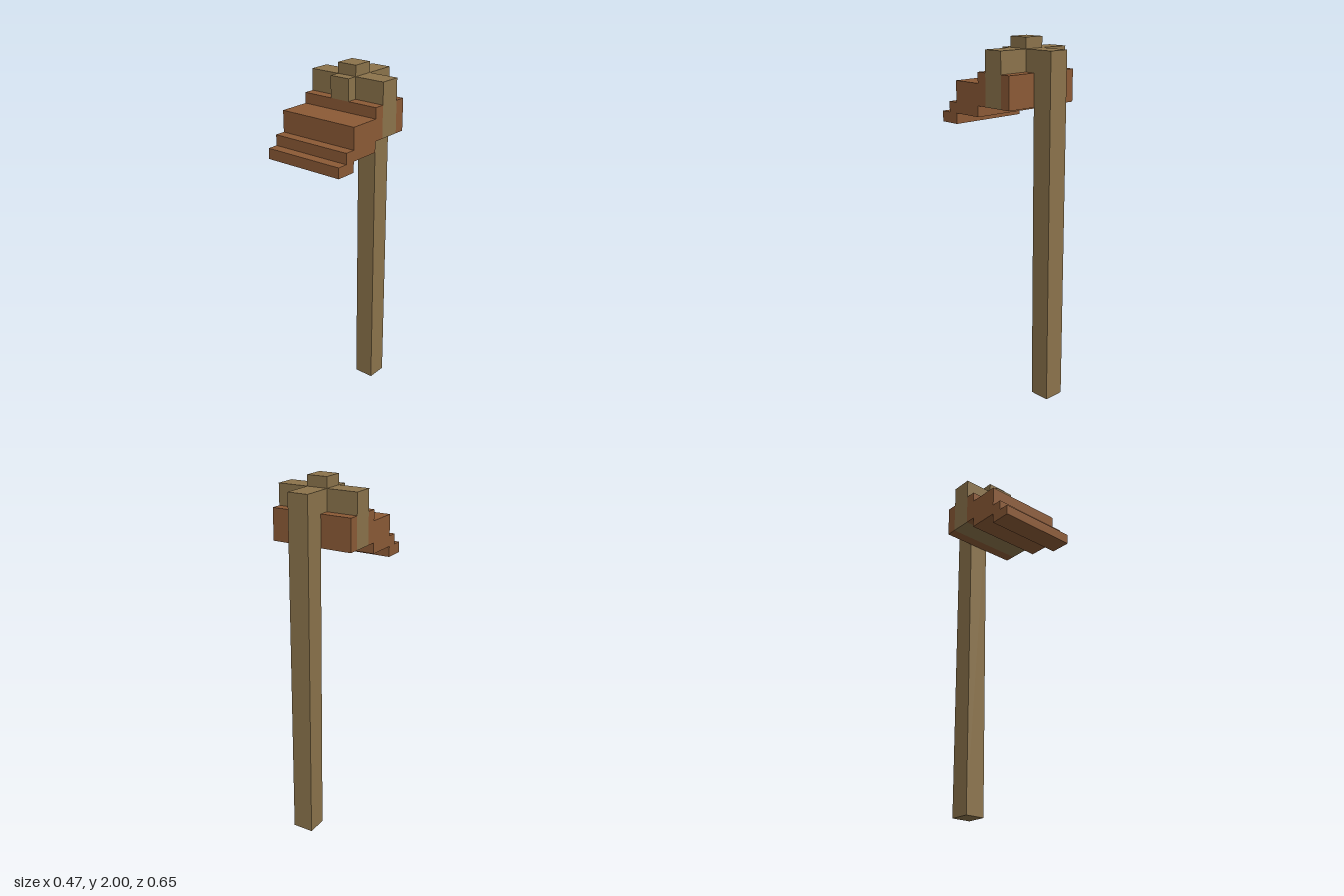
import * as THREE from 'three';

export function createModel() {
  const model = new THREE.Group();
  const U = 1 / 17; // one block unit; the model is 34 units tall
  const wood = new THREE.MeshStandardMaterial({ color: 0x8b734b });
  wood.name = 'olive wood';
  const brown = new THREE.MeshStandardMaterial({ color: 0x8b5a36 });
  brown.name = 'reddish brown';

  // Box spanning +-halfWidth in x and the given y and z ranges, in block units
  function block(name, material, halfWidth, [y0, y1], [z0, z1]) {
    const geometry = new THREE.BoxGeometry(2 * halfWidth * U, (y1 - y0) * U, (z1 - z0) * U);
    const mesh = new THREE.Mesh(geometry, material);
    mesh.name = name;
    mesh.position.set(0, (y0 + y1) / 2 * U, (z0 + z1) / 2 * U);
    model.add(mesh);
  }

  // Upright post and the cross-shaped bracket on top
  block('post', wood, 1, [0, 33], [-5.5, -3.5]);
  block('rearBracket', wood, 1, [31, 33], [-3.5, -2.5]);
  block('crossbar', wood, 4, [28, 33], [-2.5, -0.5]);
  block('frontBracket', wood, 1, [31, 33], [-0.5, 0.5]);
  block('topCap', wood, 1, [33, 34], [-2.5, -0.5]);

  // Stepped brown body, held around the crossbar
  block('rearBody', brown, 4, [28, 31], [-3.5, -2.5]);
  block('frontBody', brown, 4, [28, 31], [-0.5, 0.5]);
  block('upperStep', brown, 4, [27, 30], [0.5, 3.5]);
  block('middleStep', brown, 4, [27, 28], [3.5, 4.5]);
  block('lowerStep', brown, 4, [26, 27], [3.5, 5.5]);

  return model;
}
